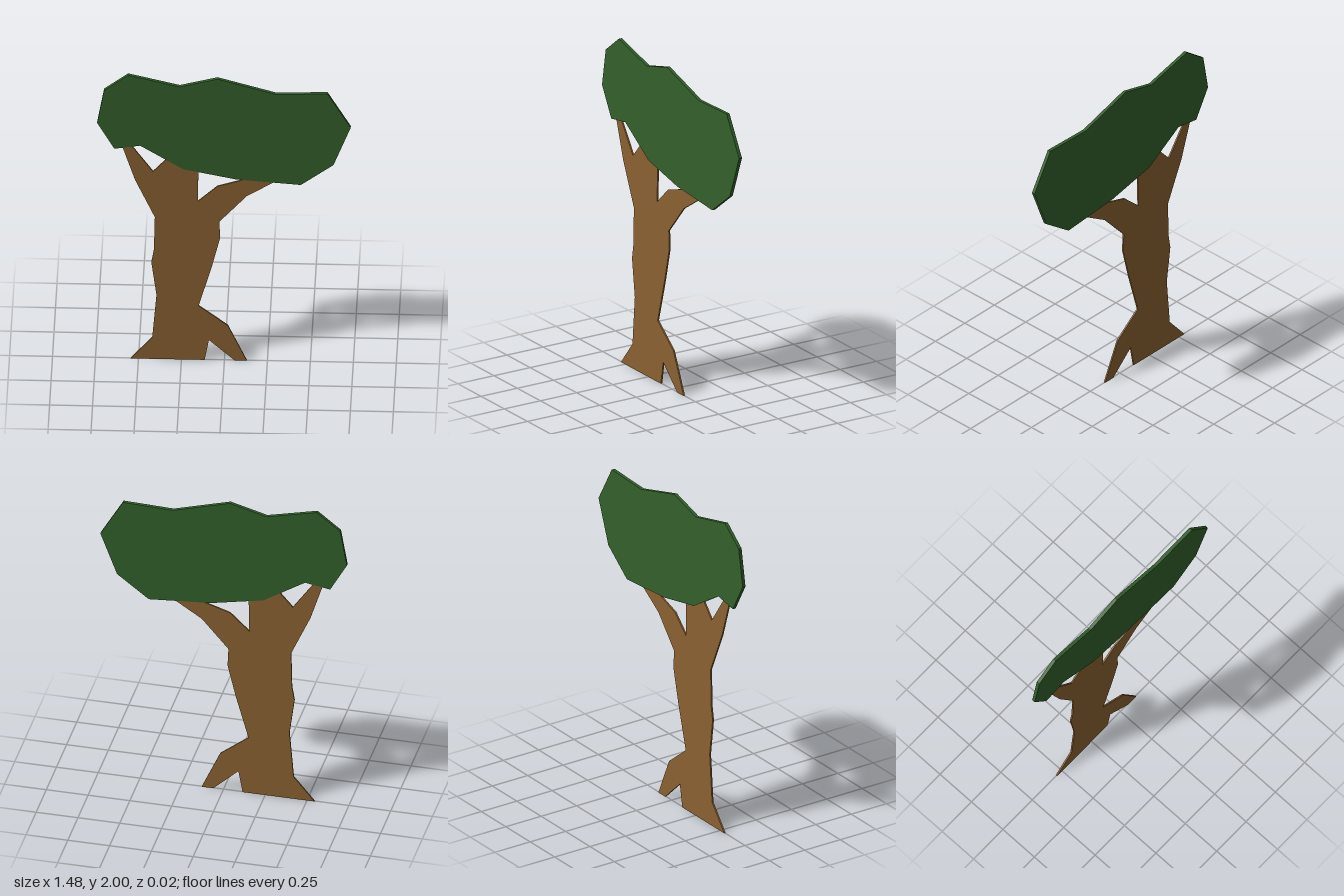
import * as THREE from 'three';

// Flat cut-out: an outline extruded to a thin board centred on z = 0
function board(name, outline, thickness, color) {
  const shape = new THREE.Shape(outline.map(([x, y]) => new THREE.Vector2(x, y)));
  const geometry = new THREE.ExtrudeGeometry(shape, { depth: thickness, bevelEnabled: false });
  geometry.translate(0, 0, -thickness / 2);
  const mesh = new THREE.Mesh(geometry, new THREE.MeshStandardMaterial({ color, flatShading: true }));
  mesh.name = name;
  return mesh;
}

export function createModel() {
  const tree = new THREE.Group();
  tree.name = 'tree';

  // Trunk with its side root and three branches, whose tips end inside the canopy
  tree.add(board('trunk', [
    [-0.545, 0], [-0.115, 0], [-0.09, 0.14], [0.06, 0], [0.13, 0], [0.02, 0.245],
    [-0.15, 0.38], [-0.075, 0.65], [-0.025, 0.86], [-0.03, 0.975],
    [0.13, 1.16], [0.285, 1.26], [0.34, 1.29], [0.2, 1.31], [0.115, 1.275], [-0.04, 1.225],
    [-0.155, 1.115], [-0.15, 1.4], [-0.3, 1.47], [-0.345, 1.4],
    [-0.415, 1.32], [-0.54, 1.5], [-0.575, 1.56], [-0.61, 1.55], [-0.59, 1.48], [-0.52, 1.26],
    [-0.405, 1.0], [-0.41, 0.77], [-0.425, 0.68], [-0.395, 0.45], [-0.42, 0.15],
  ], 0.01, 0x8b6232));

  // Leafy canopy, thicker than the trunk so it covers the branch tips on both sides
  tree.add(board('canopy', [
    [-0.64, 1.48], [-0.49, 1.505], [-0.24, 1.345], [0.07, 1.28], [0.445, 1.25],
    [0.635, 1.395], [0.735, 1.66], [0.6, 1.895], [0.3, 1.885], [-0.04, 1.985],
    [-0.26, 1.925], [-0.56, 2], [-0.7, 1.89], [-0.74, 1.66],
  ], 0.02, 0x33602b));

  return tree;
}
